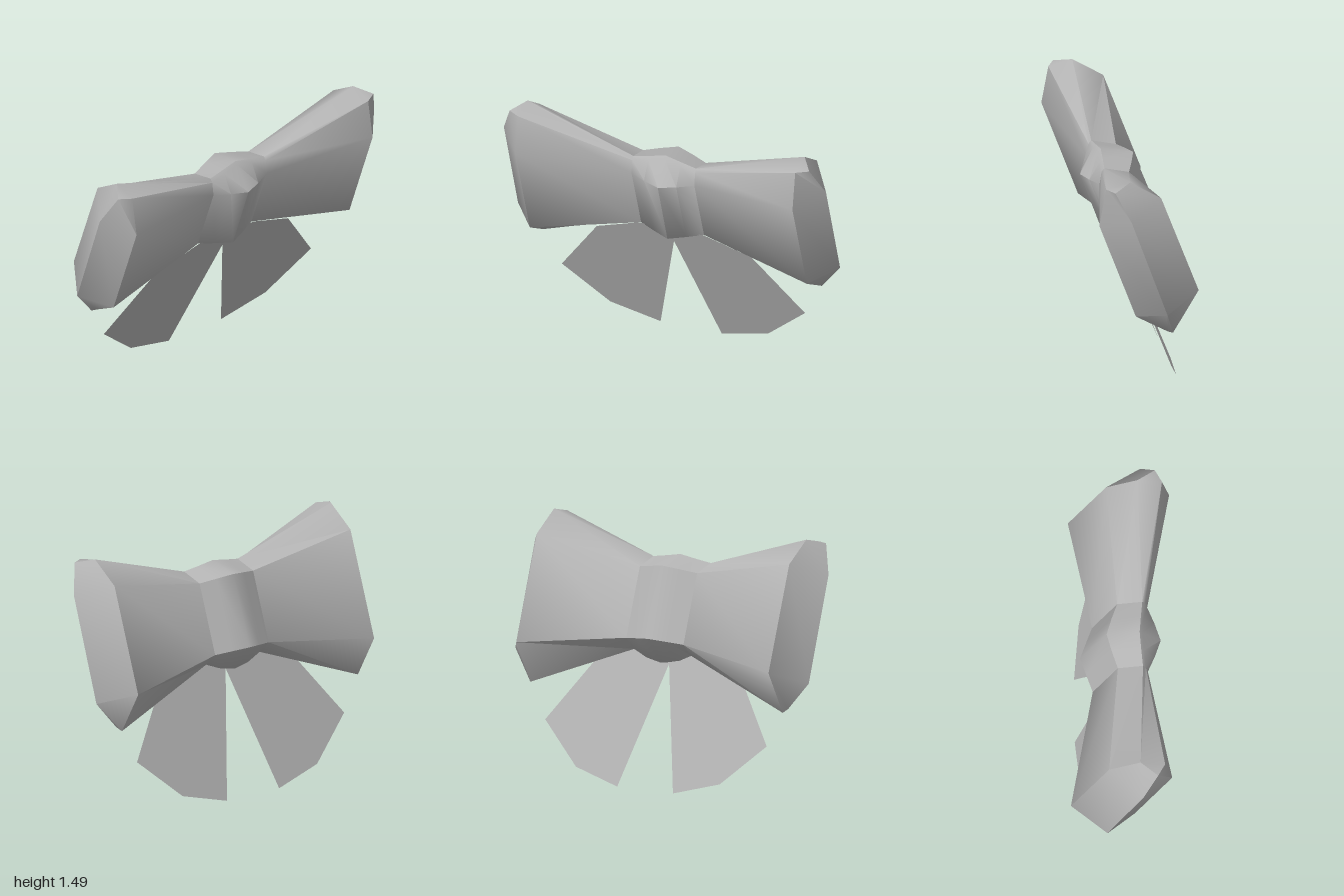
import * as THREE from 'three';
import { toCreasedNormals } from 'three/addons/utils/BufferGeometryUtils.js';

const fabric = new THREE.MeshStandardMaterial({ color: 0xb4b4b4, side: THREE.DoubleSide });
fabric.name = 'grey fabric';

// Skin a row of closed eight-point sections, listed from -x to +x.
function loft(name, sections) {
  const pos = [];
  const a = new THREE.Vector3(), b = new THREE.Vector3();
  const tri = (p, q, r) => {
    a.subVectors(q, p);
    b.subVectors(r, p);
    if (a.cross(b).length() < 1e-6) return; // collapsed corner
    for (const v of [p, q, r]) pos.push(v.x, v.y, v.z);
  };
  for (let i = 0; i < sections.length - 1; i++) {
    const s = sections[i], t = sections[i + 1];
    for (let k = 0; k < s.length; k++) {
      const n = (k + 1) % s.length;
      tri(s[k], s[n], t[n]);
      tri(s[k], t[n], t[k]);
    }
  }
  const geo = new THREE.BufferGeometry();
  geo.setAttribute('position', new THREE.Float32BufferAttribute(pos, 3));
  const mesh = new THREE.Mesh(toCreasedNormals(geo, 0.915), fabric);
  mesh.name = name;
  return mesh;
}

// Section corners as [y, z]: top front, down the front, up the back.
const ring = (x, pts) => pts.map(([y, z, px]) => new THREE.Vector3(px ?? x, y, z));
const flipX = (section) => section.map((p) => new THREE.Vector3(-p.x, p.y, p.z));

export function createModel() {
  const model = new THREE.Group();
  model.name = 'bow';

  // The whole bow leans back at its foot.
  const bow = new THREE.Group();
  bow.name = 'leaningBow';
  bow.position.y = 1.01;
  bow.rotation.x = 0.35;
  model.add(bow);

  // Loops: narrow waist, wide mouth, then a pinched outer ridge.
  const waist = ring(0.195, [
    [0.29, 0.05], [0.22, 0.088], [-0.2, 0.088], [-0.23, 0.04],
    [-0.245, 0.01], [-0.2, -0.095], [0.22, -0.095], [0.303, 0.028],
  ]);
  const mouth = ring(0.86, [
    [0.51, 0.08], [0.313, 0.195], [-0.315, 0.197], [-0.448, 0.084],
    [-0.503, 0.035], [-0.315, -0.193], [0.323, -0.193], [0.493, -0.063],
  ]);
  const ridge = ring(1, [
    [0.499, 0.041, 0.93], [0.317, 0.02], [-0.318, 0.03], [-0.475, 0.06, 0.875],
    [-0.475, 0.06, 0.875], [-0.318, 0.03], [0.317, 0.02], [0.499, 0.041, 0.93],
  ]);
  const half = [waist, mouth, ridge];
  bow.add(loft('leftLoop', half));
  bow.add(loft('rightLoop', half.map(flipX).reverse()));

  // Knot: bulges between the two waists.
  const shoulder = ring(0.1, [
    [0.305, 0.035], [0.225, 0.13], [-0.2, 0.13], [-0.275, 0.05],
    [-0.285, 0.01], [-0.2, -0.132], [0.225, -0.132], [0.315, 0.014],
  ]);
  const middle = ring(0, [
    [0.32, 0.02], [0.23, 0.165], [-0.2, 0.17], [-0.295, 0.06],
    [-0.305, 0.01], [-0.2, -0.17], [0.23, -0.165], [0.33, 0],
  ]);
  bow.add(loft('knot', [flipX(waist), flipX(shoulder), middle, shoulder, waist]));

  // Tails: flat ribbon ends hanging below the knot.
  const tail = [[0, -0.294], [0.19, -1.034], [0.49, -0.949], [0.755, -0.699],
    [0.48, -0.3], [0.2, -0.19], [0, -0.2]];
  for (const side of [1, -1]) {
    const shape = new THREE.Shape(tail.map(([x, y]) => new THREE.Vector2(side * x, y)));
    const mesh = new THREE.Mesh(new THREE.ShapeGeometry(shape), fabric);
    mesh.name = side > 0 ? 'leftTail' : 'rightTail';
    mesh.position.z = 0.1;
    bow.add(mesh);
  }
  return model;
}
